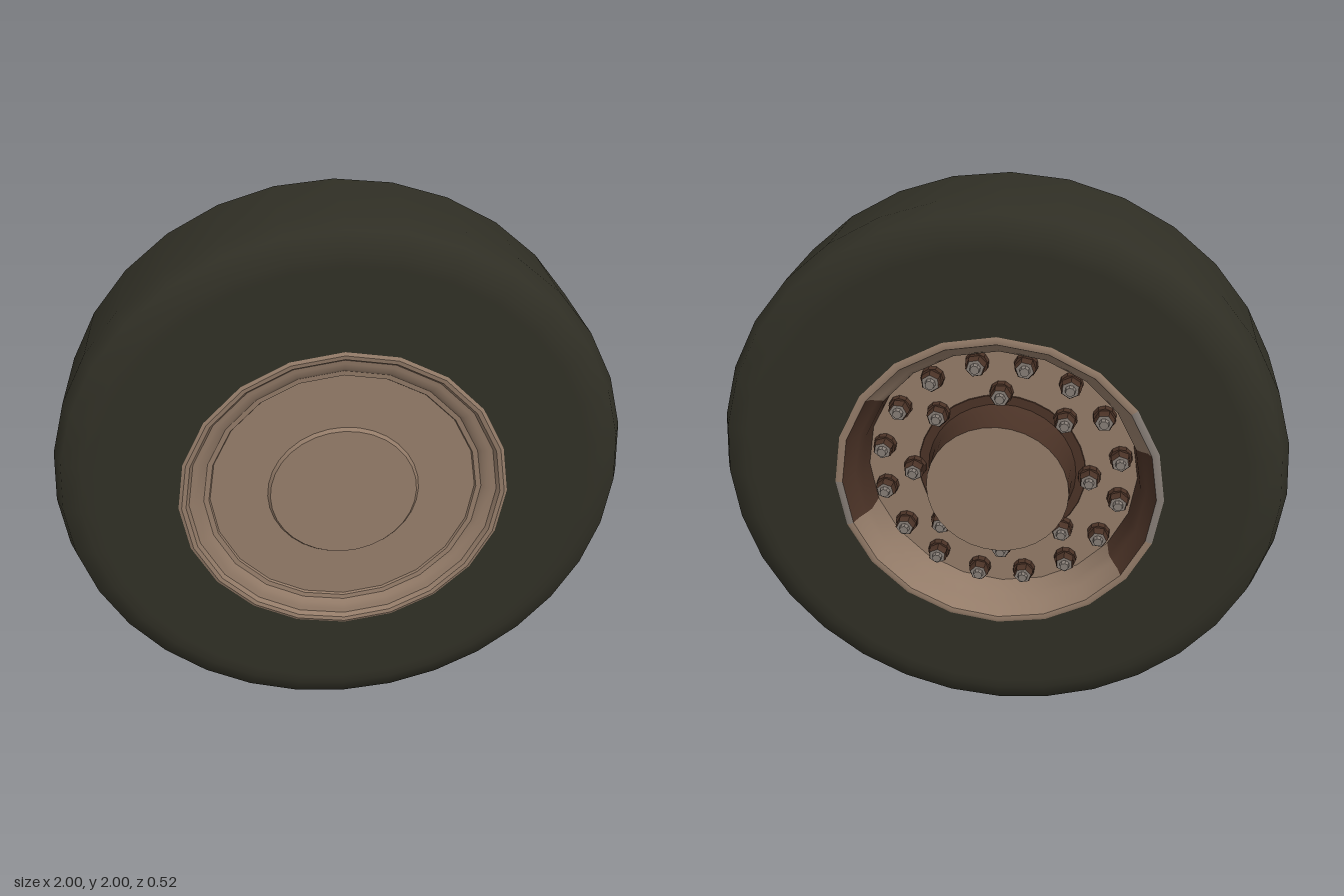
import * as THREE from 'three';
import { toCreasedNormals } from 'three/addons/utils/BufferGeometryUtils.js';

const material = (name, color) => {
  const m = new THREE.MeshStandardMaterial({ color });
  m.name = name;
  return m;
};
const rubber = material('dark rubber', 0x302f25);
const paint = material('tan paint', 0x937b68);
const rust = material('dark rust', 0x4a3226);
const steel = material('bare steel', 0x857c75);

// Revolves a [radius, z] profile about the z axis; angles in degrees from +x
function revolve(name, mat, profile, sides, crease = 0.6, from = -90, sweep = 360) {
  const points = profile.map(([r, z]) => new THREE.Vector2(r, z));
  let geo = new THREE.LatheGeometry(points, sides, THREE.MathUtils.degToRad(from + 90),
    THREE.MathUtils.degToRad(sweep));
  geo.rotateX(Math.PI / 2);
  if (crease) geo = toCreasedNormals(geo, crease);
  const mesh = new THREE.Mesh(geo, mat);
  mesh.name = name;
  return mesh;
}

// Hexagonal nut on a washer with a protruding stud, pointing to -z
function makeNut() {
  const nut = new THREE.Group();
  nut.name = 'wheelNut';
  nut.add(
    revolve('washer', rust, [[0, -0.022], [0.04, -0.022], [0.042, 0]], 10),
    revolve('nutSides', rust, [[0.031, -0.054], [0.036, -0.046], [0.036, -0.02]], 6),
    revolve('nutFace', steel, [[0, -0.054], [0.031, -0.054]], 6),
    revolve('studEnd', steel, [[0, -0.07], [0.016, -0.07], [0.019, -0.054]], 8),
  );
  return nut;
}

export function createModel() {
  const wheel = new THREE.Group();
  wheel.name = 'wheel';
  wheel.position.y = 1;

  // Tyre with rounded shoulders
  wheel.add(revolve('tyre', rubber, [
    [0.555, -0.253], [0.86, -0.253], [0.9, -0.253], [0.97, -0.227], [1, -0.158],
    [1, 0.158], [0.97, 0.227], [0.9, 0.253], [0.86, 0.253], [0.555, 0.253],
  ], 32, 0));

  // Front of the rim: stepped lip around a shallow dish
  wheel.add(revolve('frontRim', paint, [
    [0.578, 0.252], [0.565, 0.258], [0.55, 0.255], [0.54, 0.24], [0.525, 0.237],
    [0.505, 0.232], [0.49, 0.218], [0.472, 0.216], [0.468, 0.208], [0.25, 0.208],
  ], 20));
  wheel.add(revolve('frontHubCover', paint, [[0.268, 0.207], [0.258, 0.22], [0, 0.22]], 32));

  // Back of the rim in twenty 18 degree sections, some worn or rusted
  const lip = [[0.55, -0.255], [0.565, -0.258], [0.578, -0.252]];
  const wall = [[0.485, -0.11], [0.495, -0.18], [0.515, -0.205], [0.535, -0.225], [0.55, -0.255]];
  const wornLip = [4, 5, 13, 14, 15];
  const rustyWall = [0, 1, 2, 10, 11, 12, 16];
  for (let i = 0; i < 20; i++) {
    const from = -90 + i * 18;
    wheel.add(revolve('backLip', wornLip.includes(i - 0) && i !== 5 ? steel : paint, lip, 1, 0, from, 18));
    wheel.add(revolve('backWall', rustyWall.includes(i - 4) ? rust : paint, wall, 1, 0, from, 18));
  }

  // Mounting plate and hub at the back
  wheel.add(revolve('mountingPlate', paint, [[0.3, -0.11], [0.49, -0.11]], 32));
  wheel.add(revolve('hubFlange', rust, [[0.25, -0.112], [0.3, -0.112], [0.305, -0.108]], 32));
  wheel.add(revolve('hubSide', rust, [[0.25, -0.255], [0.254, -0.15], [0.268, -0.108]], 32));
  wheel.add(revolve('hubCap', paint, [[0, -0.255], [0.25, -0.255]], 32));

  // Two rings of wheel nuts: sixteen outside, eight inside
  const rings = [[16, 0.43, 0.5], [8, 0.315, 0]];
  for (const [count, radius, shift] of rings) {
    for (let i = 0; i < count; i++) {
      const a = ((i + shift) / count) * Math.PI * 2;
      const nut = makeNut();
      nut.position.set(Math.cos(a) * radius, Math.sin(a) * radius, -0.11);
      nut.rotation.z = a;
      wheel.add(nut);
    }
  }

  const model = new THREE.Group();
  model.name = 'truckWheel';
  model.add(wheel);
  return model;
}
